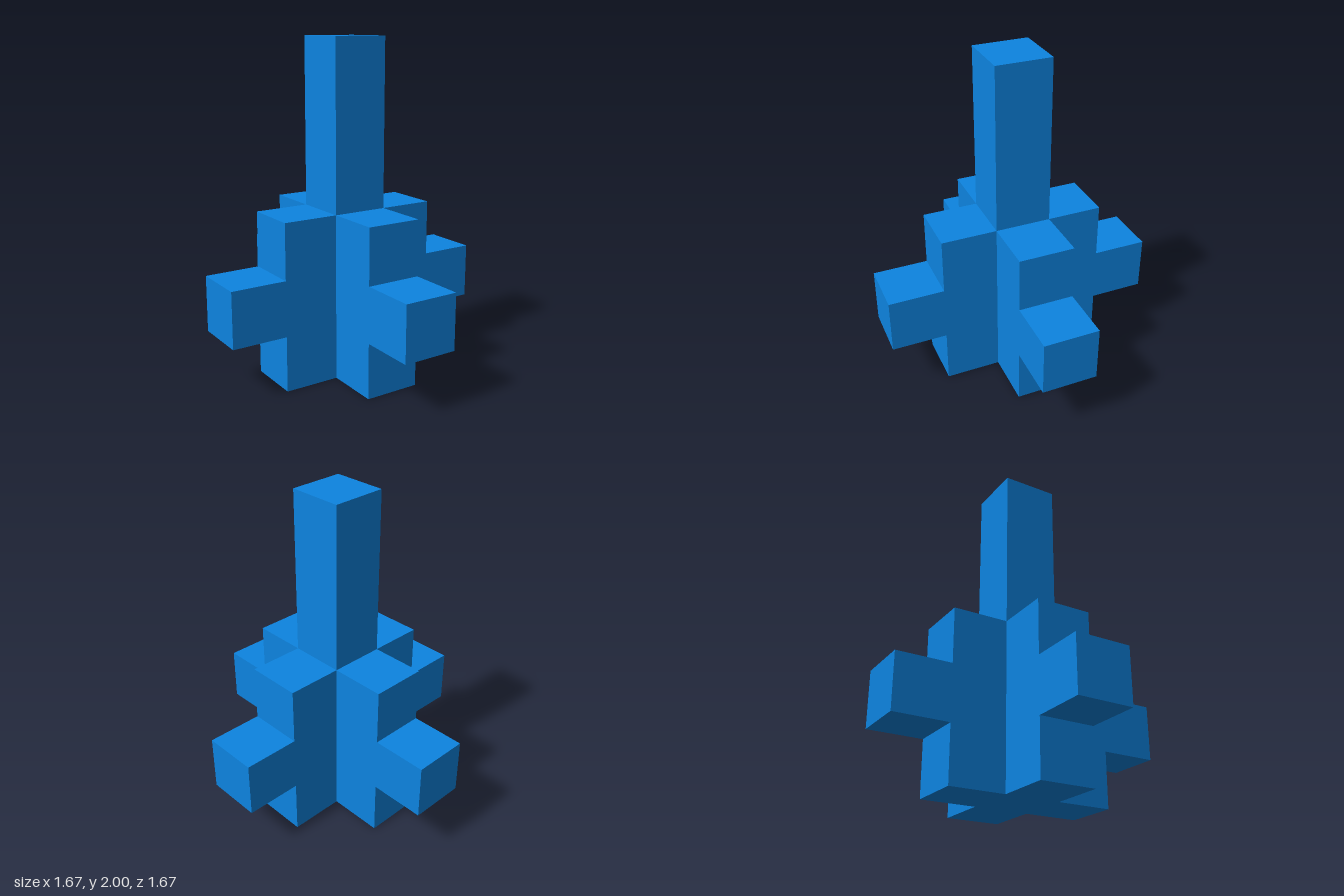
import * as THREE from 'three';

const U = 1 / 3; // width of one cube module

export function createModel() {
  const group = new THREE.Group();
  const material = new THREE.MeshStandardMaterial({ color: 0x0d84e0, flatShading: true });

  // Square central column, full height
  const column = new THREE.Mesh(new THREE.BoxGeometry(U, 2, U), material);
  column.name = 'column';
  column.position.y = 1;
  group.add(column);

  // T-shaped side fin: three modules tall, with one module sticking out at mid height
  const profile = new THREE.Shape(
    [[0.5, 0], [1.5, 0], [1.5, 1], [2.5, 1], [2.5, 2], [1.5, 2], [1.5, 3], [0.5, 3]]
      .map(([x, y]) => new THREE.Vector2(x * U, y * U))
  );
  const finGeometry = new THREE.ExtrudeGeometry(profile, { depth: U, bevelEnabled: false });
  finGeometry.translate(0, 0, -U / 2);

  // One fin on each side of the column
  ['leftFin', 'backFin', 'rightFin', 'frontFin'].forEach((name, i) => {
    const fin = new THREE.Mesh(finGeometry, material);
    fin.name = name;
    fin.rotation.y = (i * Math.PI) / 2;
    group.add(fin);
  });

  return group;
}
